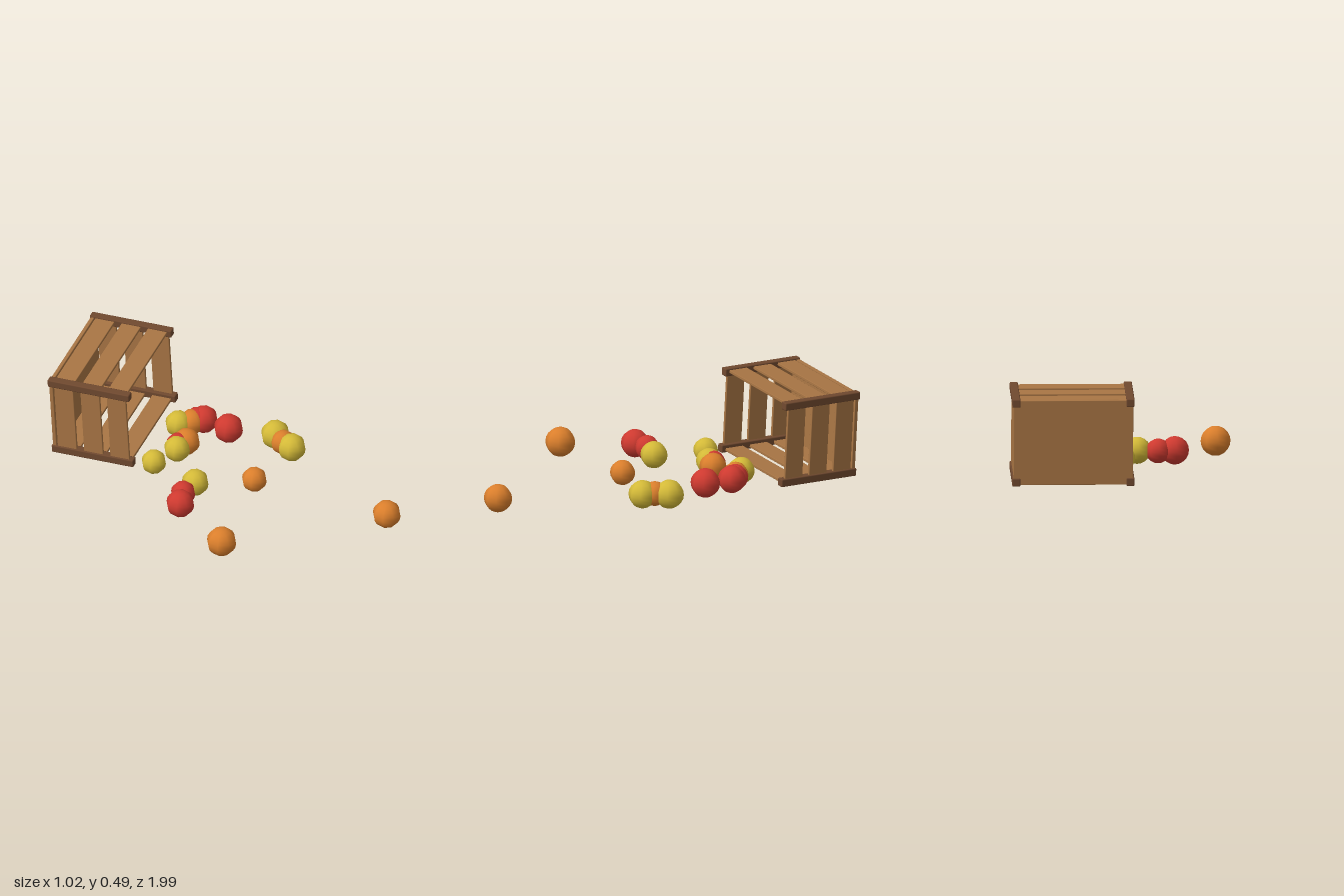
import * as THREE from 'three';
import { RoundedBoxGeometry } from 'three/addons/geometries/RoundedBoxGeometry.js';

const material = (name, color) => {
  const m = new THREE.MeshStandardMaterial({ color });
  m.name = name;
  return m;
};

export function createModel() {
  const model = new THREE.Group();
  model.name = 'spilledFruitCrate';
  const wood = material('plank wood', 0xa87544);
  const darkWood = material('dark wood', 0x70492f);
  const red = material('red fruit', 0xcf3a30);
  const orange = material('orange fruit', 0xdb7f2c);
  const yellow = material('yellow fruit', 0xd4ba38);

  // Crate lying on its side, open towards the front
  const W = 0.626, H = 0.455, D = 0.45, rail = 0.042, t = 0.016, inset = 0.008;
  const crate = new THREE.Group();
  crate.name = 'crate';
  crate.position.set(0.034, 0.256, -0.683);
  crate.rotation.set(-0.056, 0.29, 0, 'YXZ');
  model.add(crate);

  const board = (name, mat, size, pos, radius) => {
    const mesh = new THREE.Mesh(new RoundedBoxGeometry(...size, 1, radius), mat);
    mesh.name = name;
    mesh.position.set(...pos);
    crate.add(mesh);
  };

  // Solid back panel
  board('backPanel', wood, [W - 0.014, H - 0.014, 0.02], [0, 0, -D / 2 + 0.016], 0.003);

  for (const s of [-1, 1]) {
    // Corner rails along the depth
    for (const v of [-1, 1]) {
      board('cornerRail', darkWood, [rail, rail, D],
        [s * (W - rail) / 2, v * (H - rail) / 2, 0], 0.006);
    }
    // Three slats on each of the four walls
    for (const d of [0.085, 0.23, 0.375]) {
      const z = d - D / 2;
      board('sideSlat', wood, [t, H - rail, 0.105], [s * (W / 2 - inset - t / 2), 0, z], 0.003);
      board(s > 0 ? 'topSlat' : 'bottomSlat', wood, [W - rail, t, 0.105],
        [0, s * (H / 2 - inset - t / 2), z], 0.003);
    }
  }

  // Scattered fruit: colour, x, z, radius
  const fruits = [
    [yellow, -0.13, -0.285, 0.062], [yellow, 0.03, -0.26, 0.066],
    [red, 0.06, -0.275, 0.062], [orange, 0.108, -0.26, 0.068],
    [yellow, 0.2, -0.385, 0.067], [orange, 0.255, -0.34, 0.065],
    [red, 0.285, -0.33, 0.065], [red, 0.31, -0.305, 0.07],
    [red, 0.328, -0.16, 0.074], [yellow, 0.437, 0.06, 0.073],
    [orange, 0.41, 0.13, 0.062], [yellow, 0.403, 0.193, 0.071],
    [orange, 0.073, 0.21, 0.063], [orange, -0.44, 0.402, 0.075],
    [orange, 0.265, 0.922, 0.071], [red, -0.32, 0.038, 0.071],
    [red, -0.243, -0.005, 0.062], [yellow, -0.134, -0.012, 0.068],
  ];
  fruits.forEach(([mat, x, z, r]) => {
    const fruit = new THREE.Mesh(new THREE.SphereGeometry(r * 1.03, 8, 10), mat);
    fruit.name = mat.name.split(' ')[0] + 'Fruit';
    fruit.position.set(x, 0.079, z);
    fruit.rotation.y = Math.PI / 8;
    model.add(fruit);
  });
  return model;
}
